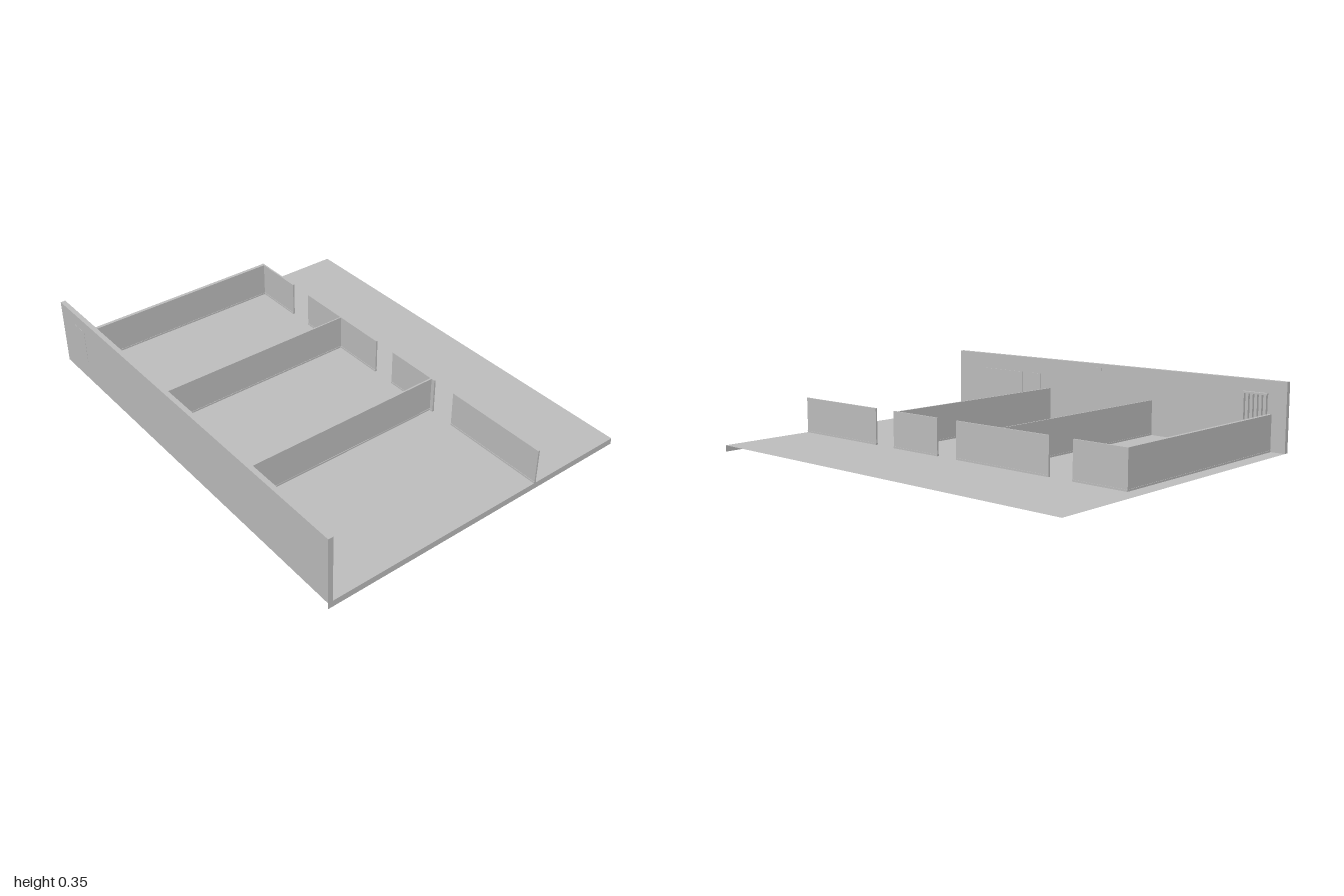
import * as THREE from 'three';

export function createModel() {
  const model = new THREE.Group();
  const plaster = new THREE.MeshStandardMaterial({ color: 0xc0c0c0, side: THREE.DoubleSide });
  plaster.name = 'plaster grey';

  const add = (name, geometry) => {
    const mesh = new THREE.Mesh(geometry, plaster);
    mesh.name = name;
    model.add(mesh);
    return mesh;
  };

  // Box given by its limits on each axis
  const block = (name, x0, x1, y0, y1, z0, z1) => {
    const g = new THREE.BoxGeometry(x1 - x0, y1 - y0, z1 - z0);
    g.translate((x0 + x1) / 2, (y0 + y1) / 2, (z0 + z1) / 2);
    return add(name, g);
  };

  const FLOOR = 0.03, LOW = 0.2, HIGH = 0.35;
  const BACK = -0.305, INNER = 0.76, EDGE = 0.783;

  // Floor sheet with a single turned-down edge
  add('floor', new THREE.PlaneGeometry(2, EDGE * 2).rotateX(-Math.PI / 2).translate(0, FLOOR, 0));
  add('floorEdge', new THREE.PlaneGeometry(EDGE * 2, FLOOR).rotateY(Math.PI / 2).translate(1, FLOOR / 2, 0));

  // Tall outer wall
  block('frontWall', -1, 1, FLOOR, HIGH, INNER, EDGE);

  // Low corridor wall, broken by doorways, with skirting
  for (const [x0, x1] of [[-0.93, -0.663], [-0.54, -0.02], [0.096, 0.377], [0.497, 1]]) {
    block('corridorWall', x0, x1, FLOOR, LOW, BACK - 0.004, BACK + 0.004);
    block('corridorSkirting', x0, x1, FLOOR, FLOOR + 0.008, BACK - 0.006, BACK + 0.006);
  }

  // Room walls running front to back
  for (const [x, t] of [[-0.92, 0.016], [-0.283, 0.006], [0.355, 0.008]]) {
    block('roomWall', x - t / 2, x + t / 2, FLOOR, LOW, BACK, INNER);
    block('roomSkirting', x - t / 2 - 0.002, x + t / 2 + 0.002, FLOOR, FLOOR + 0.008, BACK, INNER);
  }

  // Barred window: outer pane, inner frame and bars
  block('windowPane', -0.9, -0.79, 0.13, 0.29, EDGE, EDGE + 0.001);
  block('windowSill', -0.91, -0.785, 0.125, 0.135, 0.743, INNER);
  block('windowHead', -0.91, -0.785, 0.285, 0.293, 0.743, INNER);
  for (let i = 0; i < 6; i++) {
    const x = -0.906 + i * 0.0225;
    block('windowBar', x, x + 0.005, 0.135, 0.285, 0.746, INNER);
  }

  // Thin boards on the inside of the tall wall
  block('wideBoard', 0.54, 0.81, 0.13, 0.27, INNER - 0.004, INNER);
  block('narrowBoard', 0.42, 0.49, 0.19, 0.27, INNER - 0.004, INNER);
  block('smallPlate', 0.02, 0.055, 0.315, 0.33, INNER - 0.004, INNER);

  return model;
}
